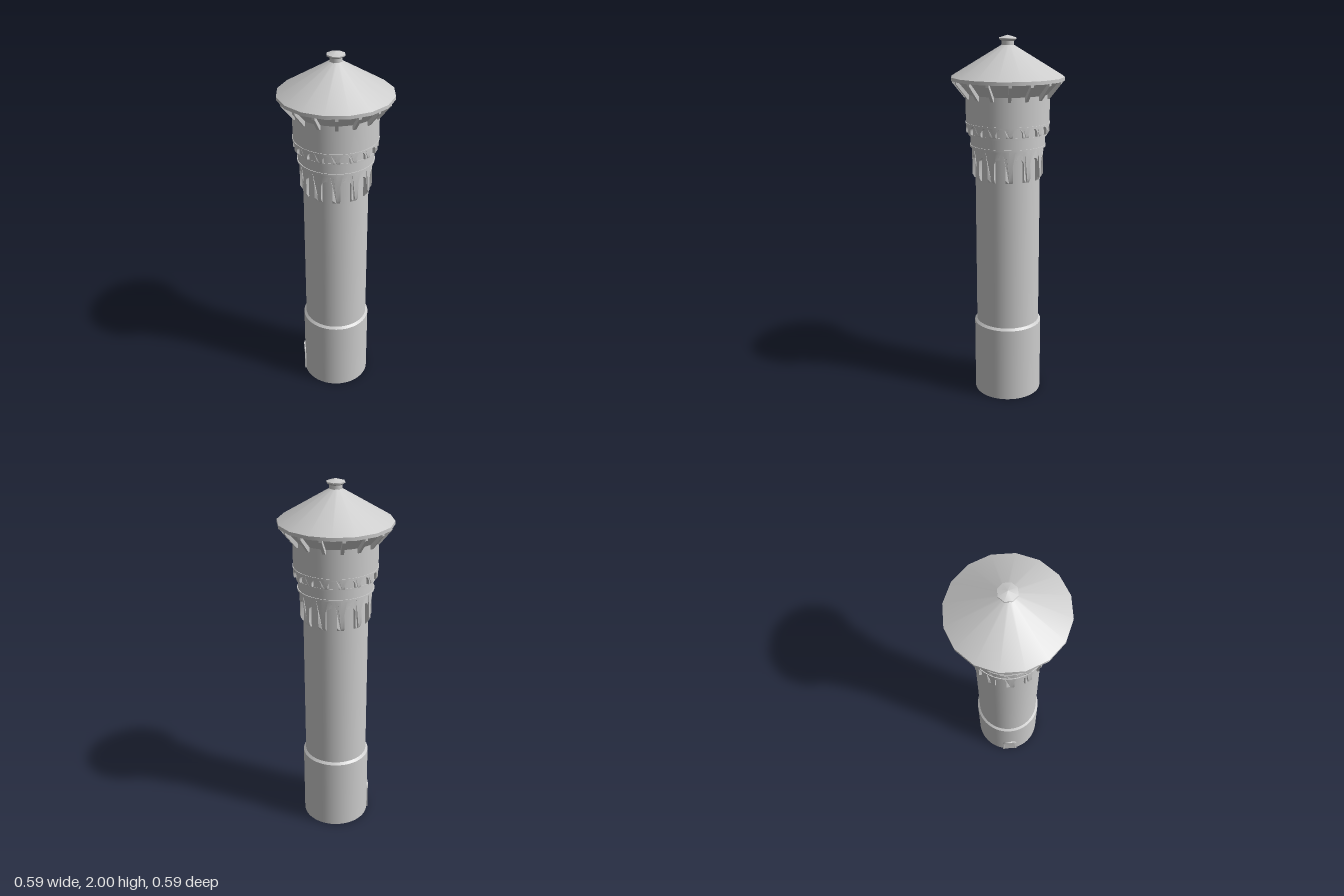
import * as THREE from 'three';
import { toCreasedNormals } from 'three/addons/utils/BufferGeometryUtils.js';

const stone = new THREE.MeshStandardMaterial({ color: 0xcccccc });
stone.name = 'pale grey stone';

function add(parent, name, geometry) {
  const mesh = new THREE.Mesh(geometry, stone);
  mesh.name = name;
  parent.add(mesh);
  return mesh;
}

// Round band between two heights
function band(parent, name, r0, r1, y0, y1, sides = 64, turn = 0) {
  const mesh = add(parent, name, new THREE.CylinderGeometry(r1, r0, y1 - y0, sides));
  mesh.position.y = (y0 + y1) / 2;
  mesh.rotation.y = turn;
  return mesh;
}

// Points of a round-headed opening, from bottom left over the top to bottom right
function archPoints(half, bottom, top, steps = 12) {
  const spring = top - half;
  const pts = [new THREE.Vector2(-half, bottom)];
  for (let i = 0; i <= steps; i++) {
    const a = Math.PI * (1 - i / steps);
    pts.push(new THREE.Vector2(half * Math.cos(a), spring + half * Math.sin(a)));
  }
  pts.push(new THREE.Vector2(half, bottom));
  return pts;
}

// Extrude a flat shape and wrap it round the tower; the foot can slope inwards
function wrap(shape, inner, outer, footY = -1, footR = outer) {
  const geo = new THREE.ExtrudeGeometry(shape, { depth: outer - inner, bevelEnabled: false });
  const p = geo.attributes.position;
  for (let i = 0; i < p.count; i++) {
    const angle = p.getX(i) / outer;
    const y = p.getY(i);
    let r = inner + p.getZ(i);
    if (y < footY) r = Math.min(r, footR);
    p.setXYZ(i, r * Math.sin(angle), y, r * Math.cos(angle));
  }
  return toCreasedNormals(geo, 0.6);
}

// Ring of arches open at the bottom, with piers between them
function arcade(parent, name, o) {
  const group = new THREE.Group();
  group.name = name;
  const half = Math.PI * o.outer / o.count;
  const pts = [new THREE.Vector2(-half, o.foot)];
  const arch = archPoints(o.half, o.foot, o.archTop);
  const knee = o.foot + o.slope;
  arch.splice(1, 0, new THREE.Vector2(-o.half, knee));
  arch.splice(arch.length - 1, 0, new THREE.Vector2(o.half, knee));
  pts.push(...arch, new THREE.Vector2(half, o.foot), new THREE.Vector2(half, knee));
  for (let i = 0; i <= 6; i++) pts.push(new THREE.Vector2(half - half * i / 3, o.top));
  pts.push(new THREE.Vector2(-half, knee));
  const geo = wrap(new THREE.Shape(pts), o.inner, o.outer, knee - 0.001, o.footR);
  for (let i = 0; i < o.count; i++) {
    add(group, 'archBay', geo).rotation.y = (i + 0.5) * 2 * Math.PI / o.count;
  }
  parent.add(group);
}

export function createModel() {
  const tower = new THREE.Group();
  tower.name = 'waterTower';

  // Plinth and shaft
  band(tower, 'base', 0.187, 0.187, 0, 0.42);
  band(tower, 'baseBevel', 0.187, 0.174, 0.42, 0.432);
  band(tower, 'shaft', 0.174, 0.174, 0.43, 1.44);

  // Large blind arcade below the cornice
  arcade(tower, 'lowerArcade', {
    count: 12, inner: 0.17, outer: 0.191, half: 0.03,
    foot: 1.255, slope: 0.02, footR: 0.18, archTop: 1.382, top: 1.428,
  });

  // Cornice rings
  band(tower, 'corniceLip', 0.203, 0.203, 1.425, 1.435);
  band(tower, 'cornice', 0.199, 0.199, 1.435, 1.485);
  band(tower, 'corniceLedge', 0.209, 0.209, 1.485, 1.497);

  // Small arcade under the tank drum
  band(tower, 'arcadeCore', 0.207, 0.207, 1.497, 1.55);
  arcade(tower, 'upperArcade', {
    count: 16, inner: 0.203, outer: 0.222, half: 0.027,
    foot: 1.499, slope: 0.006, footR: 0.219, archTop: 1.544, top: 1.55,
  });
  band(tower, 'drumLip', 0.225, 0.225, 1.548, 1.555);

  // Tank drum and flared soffit
  band(tower, 'drum', 0.222, 0.222, 1.555, 1.707);
  band(tower, 'soffit', 0.222, 0.28, 1.705, 1.772, 64);

  // Roof brackets
  const strut = new THREE.Shape([
    new THREE.Vector2(0.2, 1.682), new THREE.Vector2(0.229, 1.682),
    new THREE.Vector2(0.291, 1.76), new THREE.Vector2(0.291, 1.775),
    new THREE.Vector2(0.2, 1.775),
  ]);
  const strutGeo = new THREE.ExtrudeGeometry(strut, { depth: 0.016, bevelEnabled: false });
  strutGeo.translate(0, 0, -0.008);
  const brackets = new THREE.Group();
  brackets.name = 'roofBrackets';
  for (let i = 0; i < 16; i++) {
    add(brackets, 'bracket', strutGeo).rotation.y = i * Math.PI / 8;
  }
  tower.add(brackets);

  // Sixteen-sided roof
  const turn = Math.PI / 16;
  band(tower, 'roofEdge', 0.3, 0.3, 1.772, 1.79, 16, turn);
  band(tower, 'roof', 0.3, 0.03, 1.79, 1.952, 16, turn);

  // Eight-sided finial
  const eighth = Math.PI / 8;
  band(tower, 'finialNeck', 0.034, 0.034, 1.94, 1.975, 8, eighth);
  band(tower, 'finialFlare', 0.034, 0.049, 1.97, 1.98, 8, eighth);
  band(tower, 'finialRim', 0.049, 0.049, 1.98, 1.986, 8, eighth);
  band(tower, 'finialCap', 0.049, 0.002, 1.986, 2, 8, eighth);

  // Arched door with a raised frame on one side
  const door = new THREE.Group();
  door.name = 'door';
  const frame = new THREE.Shape(archPoints(0.045, 0, 0.165)
    .concat(archPoints(0.034, 0, 0.154).reverse()));
  add(door, 'doorFrame', wrap(frame, 0.18, 0.194));
  add(door, 'doorPanel', wrap(new THREE.Shape(archPoints(0.034, 0, 0.154)), 0.182, 0.191));
  door.rotation.y = -Math.PI / 2;
  tower.add(door);

  return tower;
}
